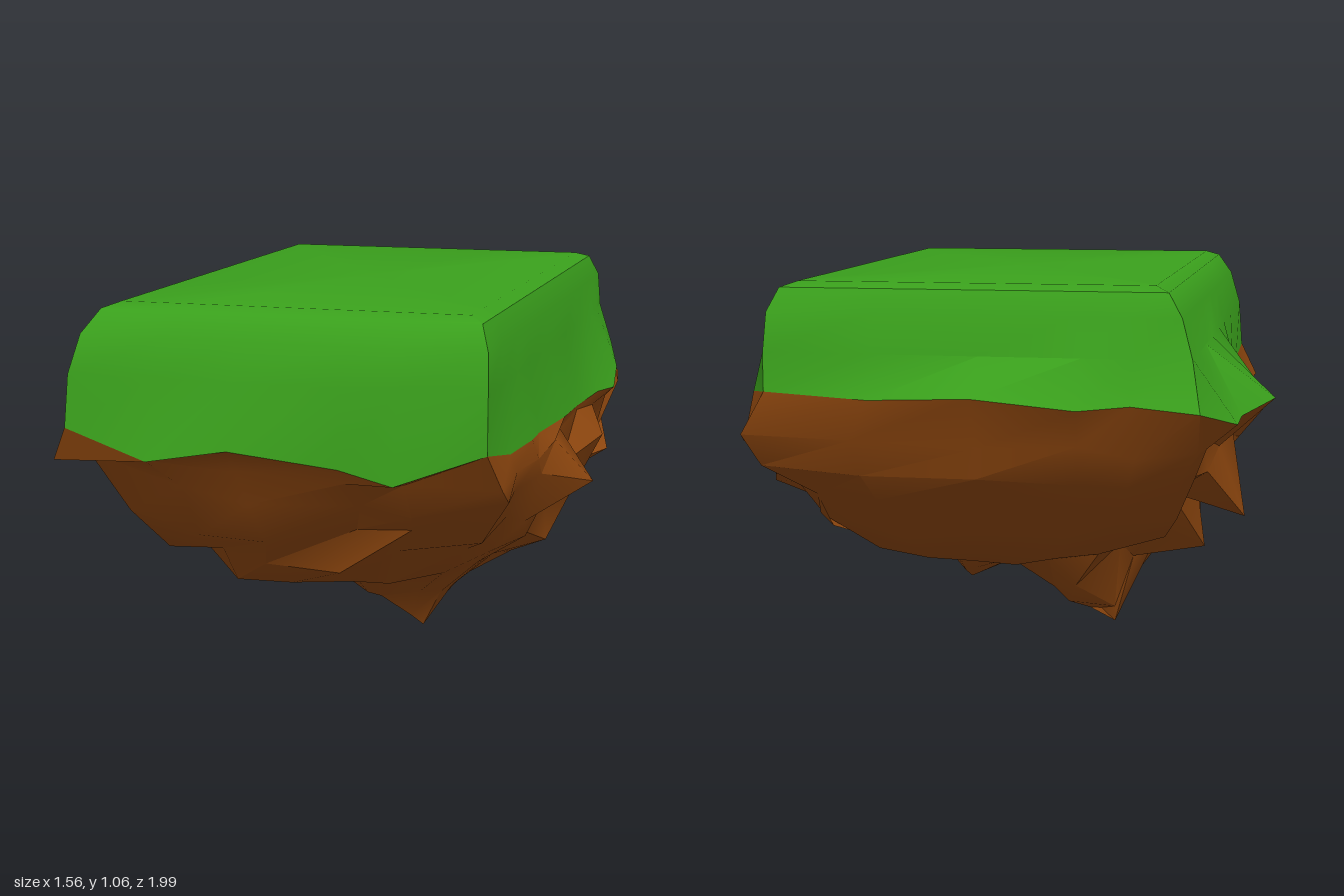
import * as THREE from 'three';
import { toCreasedNormals } from 'three/addons/utils/BufferGeometryUtils.js';

// Ragged edge where turf meets rock: front, left (+x) side, back, right (-x) side
const lip = [
  [-.59, .72, .94], [-.33, .65, .99], [-.1, .69, .98], [.2, .65, .94], [.36, .62, .97], [.605, .71, .93],
  [.63, .68, .75], [.65, .68, .55], [.64, .67, .4], [.66, .66, .1], [.65, .64, -.2], [.68, .65, -.4],
  [.71, .64, -.55], [.70, .69, -.67], [.66, .75, -.8],
  [.605, .76, -.88], [.3, .75, -.93], [0, .77, -1], [-.28, .74, -.97], [-.42, .75, -.93],
  [-.61, .74, -.98], [-.70, .70, -.86], [-.70, .70, -.7], [-.78, .72, -.47], [-.72, .73, -.25],
  [-.64, .72, 0], [-.61, .72, .2], [-.6, .72, .5],
].map((p) => new THREE.Vector3(...p));

// Each lip point projected to the walls of the turf block, as coordinates -1..1
const main = { x0: -.58, x1: .605, z0: -.88, z1: .93 };
const square = lip.map((p) => [
  THREE.MathUtils.clamp((p.x - main.x0) / (main.x1 - main.x0) * 2 - 1, -1, 1),
  THREE.MathUtils.clamp((p.z - main.z0) / (main.z1 - main.z0) * 2 - 1, -1, 1),
]);

// Rectangular ring at height y; round blends it from a rectangle to an ellipse
function ring([y, x0, x1, z0, z1], round = 0) {
  return square.map(([u, v]) => {
    const a = THREE.MathUtils.lerp(u, u * Math.sqrt(1 - v * v / 2), round);
    const b = THREE.MathUtils.lerp(v, v * Math.sqrt(1 - u * u / 2), round);
    return new THREE.Vector3((x0 + x1) / 2 + a * (x1 - x0) / 2, y, (z0 + z1) / 2 + b * (z1 - z0) / 2);
  });
}

// Skin rings from top to bottom, closing with a fan on the top or bottom
function skin(rings, { top, bottom, crease }) {
  const pos = [];
  const tri = (...pts) => pts.forEach((p) => pos.push(p.x, p.y, p.z));
  const n = lip.length;
  for (let i = 0; i < n; i++) {
    const j = (i + 1) % n;
    for (let k = 0; k < rings.length - 1; k++) {
      const [up, low] = [rings[k], rings[k + 1]];
      tri(low[i], low[j], up[j]);
      tri(low[i], up[j], up[i]);
    }
    if (top) tri(rings[0][i], rings[0][j], top);
    if (bottom) tri(rings.at(-1)[j], rings.at(-1)[i], bottom);
  }
  const geo = new THREE.BufferGeometry();
  geo.setAttribute('position', new THREE.Float32BufferAttribute(pos, 3));
  return toCreasedNormals(geo, crease);
}

function makeMesh(name, geometry, color) {
  const mesh = new THREE.Mesh(geometry, new THREE.MeshStandardMaterial({ color, side: THREE.DoubleSide }));
  mesh.name = name;
  return mesh;
}

let seed = 11;
function jitter(amount) {
  seed = (seed * 16807) % 2147483647;
  return (seed / 2147483647 - 0.5) * 2 * amount;
}

export function createModel() {
  const group = new THREE.Group();
  group.name = 'floatingIsland';

  // Turf block with rounded top edges and a ragged skirt
  const turfRings = [
    [1.06, -.47, .53, -.78, .80],
    [1.045, -.51, .57, -.83, .85],
    [.98, -.55, .598, -.865, .905],
    [.87, -.58, .605, -.88, .93],
  ].map((r) => ring(r));
  const turf = skin([...turfRings, lip], { top: new THREE.Vector3(.03, 1.06, .01), crease: 0.7 });
  group.add(makeMesh('grassTop', turf, 0x3aa01c));

  // Rock tapering down in uneven layers
  const rockRings = [
    [.62, -.62, .66, -.89, .91],
    [.53, -.60, .67, -.86, .86],
    [.43, -.57, .63, -.78, .79],
    [.33, -.53, .58, -.68, .70],
    [.25, -.46, .50, -.56, .58],
    [.20, -.34, .36, -.42, .40],
    [.17, -.20, .22, -.27, .25],
    [.15, -.08, .10, -.12, .10],
  ].map((r, k) => ring(r, Math.min(1, k * 0.2)));
  const amounts = [.025, .035, .04, .04, .03, .02, .012, .008];
  rockRings.forEach((r, k) => r.forEach((p) => {
    p.x += jitter(amounts[k]);
    p.y += jitter(amounts[k] * 0.8);
    p.z += jitter(amounts[k]);
  }));

  // Crags and hanging peaks: x, y, z, radius of the pull
  const crags = [
    [.25, 0, .2, .22], [-.22, .02, -.2, .2], [-.31, .02, -.37, .18],
    [.78, .61, .27, .16], [.78, .51, .28, .16], [.73, .55, -.2, .16], [.70, .44, -.5, .16],
    [-.71, .59, .2, .15], [-.70, .38, -.5, .16], [-.58, .27, -.42, .16], [-.63, .6, .7, .14],
    [.63, .6, .85, .14], [.60, .26, .05, .16], [-.2, .23, .63, .16], [0, .54, -.92, .14],
  ];
  const rockPoints = rockRings.flat();
  for (const [x, y, z, radius] of crags) {
    const target = new THREE.Vector3(x, y, z);
    const nearest = rockPoints.reduce((a, b) => (a.distanceTo(target) < b.distanceTo(target) ? a : b));
    const from = nearest.clone();
    const pull = target.sub(from);
    for (const p of rockPoints) {
      const w = 1 - p.distanceTo(from) / radius;
      if (w > 0) p.addScaledVector(pull, w);
    }
  }
  const rock = skin([lip, ...rockRings], { bottom: new THREE.Vector3(.01, .14, 0), crease: 0.75 });
  group.add(makeMesh('rockBase', rock, 0x8b450e));

  return group;
}
